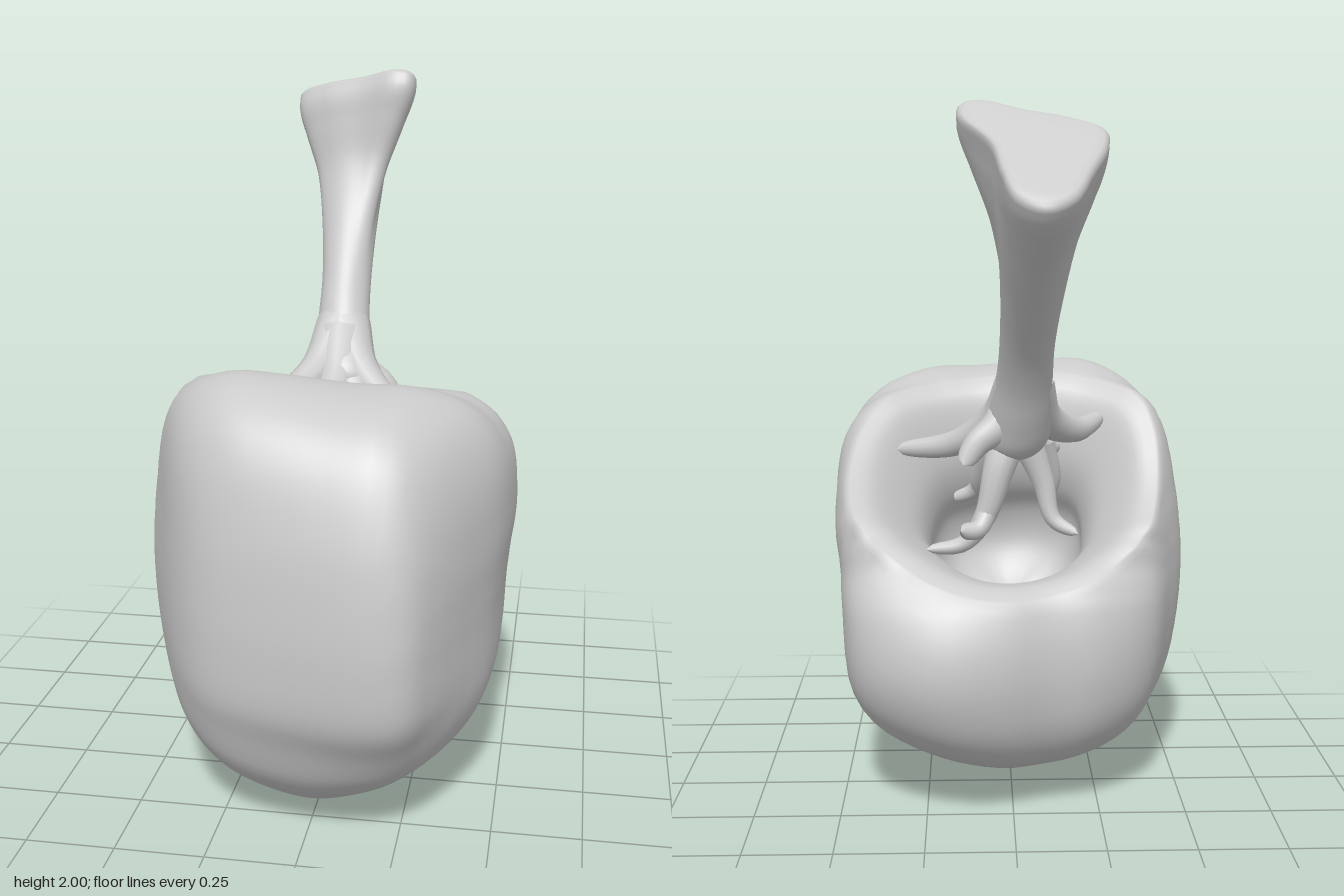
import * as THREE from 'three';

const V = (x, y, z) => new THREE.Vector3(x, y, z);
const mat = new THREE.MeshStandardMaterial({ color: 0xcccccc });
const SEG = 96, BINS = 90;

// shared tilted frame: N is the opening / stem axis, E1 and E2 span its plane
const N = V(0, 0.8, -0.6), E1 = V(1, 0, 0), E2 = V(0, -0.6, -0.8);

// radius table (by angle) of a smooth closed outline around (cx, cy)
function polar(points, cx, cy) {
  const curve = new THREE.CatmullRomCurve3(points.map(([x, y]) => V(x - cx, y - cy, 0)), true);
  const samples = curve.getPoints(600);
  return Array.from({ length: BINS }, (_, i) => {
    const a = i / BINS * 2 * Math.PI, ux = Math.cos(a), uy = Math.sin(a);
    const off = p => (p.x * ux + p.y * uy) / p.length();
    const best = samples.reduce((m, p) => off(p) > off(m) ? p : m);
    return best.length();
  });
}
function lookup(table, a) {
  const f = (a / (2 * Math.PI) + 1) % 1 * BINS, i = Math.floor(f);
  return THREE.MathUtils.lerp(table[i % BINS], table[(i + 1) % BINS], f - i);
}

// skin over closed rows of SEG points, running outward and down from the pole
function loft(rows) {
  const pos = rows.flat().flatMap(p => [p.x, p.y, p.z]), index = [];
  for (let i = 0; i < rows.length - 1; i++) {
    for (let j = 0; j < SEG; j++) {
      const k = (j + 1) % SEG;
      const a = i * SEG + j, b = a + SEG, c = (i + 1) * SEG + k, d = i * SEG + k;
      index.push(a, b, c, a, c, d);
    }
  }
  const g = new THREE.BufferGeometry();
  g.setAttribute('position', new THREE.Float32BufferAttribute(pos, 3));
  g.setIndex(index);
  g.computeVertexNormals();
  return g;
}
const ring = fn => Array.from({ length: SEG }, (_, j) => fn(j / SEG * 2 * Math.PI));

// hollow lump: blends three outlines, then turns inward into the cavity
function bodyGeometry() {
  const C = V(0, 0.6, 0.2), P = 5, rim = 0.82;
  const front = polar([[0.1, 1.23], [0.25, 1.225], [0.4, 1.17], [0.5, 1.05], [0.525, 0.9], [0.5, 0.6],
    [0.48, 0.35], [0.42, 0.23], [0.3, 0.12], [0.15, 0.04], [0, 0], [-0.15, 0.03], [-0.3, 0.1],
    [-0.43, 0.22], [-0.49, 0.35], [-0.53, 0.65], [-0.5, 0.95], [-0.46, 1.1], [-0.4, 1.18],
    [-0.25, 1.25], [-0.1, 1.25]], 0, 0.6);
  const side = polar([[0.81, 0.6], [0.8, 0.75], [0.76, 0.95], [0.68, 1.12], [0.55, 1.22], [0.42, 1.255],
    [0.3, 1.23], [0.2, 1.17], [0, 1.02], [-0.1, 0.95], [-0.18, 0.87], [-0.28, 0.74], [-0.38, 0.65],
    [-0.43, 0.52], [-0.43, 0.4], [-0.38, 0.27], [-0.3, 0.18], [-0.2, 0.12], [0, 0.06], [0.15, 0.02],
    [0.3, 0], [0.45, 0.03], [0.55, 0.09], [0.65, 0.18], [0.72, 0.3], [0.79, 0.42]], 0.2, 0.6);
  const top = polar([[0.2, -0.44], [0.35, -0.39], [0.45, -0.3], [0.5, -0.15], [0.525, 0.1], [0.5, 0.35],
    [0.42, 0.55], [0.35, 0.7], [0.3, 0.78], [0.22, 0.81], [0, 0.78], [-0.25, 0.7], [-0.35, 0.6],
    [-0.45, 0.4], [-0.52, 0.2], [-0.52, 0.1], [-0.47, -0.05], [-0.4, -0.22], [-0.25, -0.33],
    [-0.1, -0.36], [0.05, -0.42]], 0, 0.2);
  // each outline with its two in-plane axes and its depth axis
  const views = [[front, 'x', 'y', 'z'], [side, 'z', 'y', 'x'], [top, 'x', 'z', 'y']]
    .map(([target, u, v, w]) => ({ target, table: [...target], u, v, w }));
  const radius = d => {
    let sum = 0;
    for (const { table, u, v } of views) {
      sum += (Math.hypot(d[u], d[v]) / lookup(table, Math.atan2(d[v], d[u]))) ** P;
    }
    return sum ** (-1 / P);
  };
  // grow the outlines until the rounded blend reaches the intended ones
  for (let pass = 0; pass < 6; pass++) {
    for (const view of views) {
      view.next = view.table.map((r, i) => {
        const a = i / BINS * 2 * Math.PI, d = V(0, 0, 0);
        let reach = 0;
        for (let t = -1.2; t <= 1.21; t += 0.08) {
          d[view.u] = Math.cos(t) * Math.cos(a);
          d[view.v] = Math.cos(t) * Math.sin(a);
          d[view.w] = Math.sin(t);
          if (d.dot(N) < Math.cos(rim)) reach = Math.max(reach, radius(d) * Math.cos(t));
        }
        const want = view.target[i];
        return THREE.MathUtils.clamp(r * want / Math.max(reach, 0.1), want * 0.95, want * 1.2);
      });
    }
    for (const view of views) view.table = view.next;
  }
  const surface = (theta, phi) => {
    const s = Math.sin(theta);
    const d = N.clone().multiplyScalar(Math.cos(theta))
      .addScaledVector(E1, s * Math.cos(phi)).addScaledVector(E2, s * Math.sin(phi));
    return d.multiplyScalar(radius(d));
  };

  // cavity profile: share of the rim radius, depth below the rim
  const cavity = new THREE.SplineCurve([[0, 0.54], [0.2, 0.53], [0.4, 0.48], [0.5, 0.38], [0.5, 0.27],
    [0.56, 0.17], [0.69, 0.085], [0.85, 0.015], [1, 0]].map(p => new THREE.Vector2(...p)));
  const crest = ring(phi => surface(rim, phi));
  const mean = crest.reduce((sum, p) => sum + p.dot(N), 0) / SEG;
  const rows = [];
  for (let i = 0; i < 36; i++) {
    const c = cavity.getPoint(i / 36);
    rows.push(crest.map(p => {
      const h = p.dot(N);
      const q = p.clone().addScaledVector(N, -h).multiplyScalar(c.x);
      return q.addScaledVector(N, h * c.x + mean * (1 - c.x) - c.y).add(C);
    }));
  }
  for (let i = 0; i <= 60; i++) {
    const theta = rim + (Math.PI - rim) * i / 60;
    rows.push(ring(phi => surface(theta, phi).add(C)));
  }
  return loft(rows);
}

// stem: round shaft widening to a three-cornered, flat end
function stemGeometry() {
  const head = polar([[0.18, -0.2], [0.19, -0.14], [0.11, -0.02], [0.085, 0.09], [0.05, 0.2], [-0.02, 0.24],
    [-0.09, 0.2], [-0.14, 0.09], [-0.18, -0.01], [-0.18, -0.08], [-0.1, -0.13], [0.03, -0.17],
    [0.13, -0.21]], 0, 0);
  // centre, shaft radius, share of the head outline
  const keys = [
    [-0.04, 1.87, -0.62, 0.1, 1], [-0.04, 1.83, -0.595, 0.1, 0.97], [-0.04, 1.77, -0.57, 0.09, 0.75],
    [-0.04, 1.66, -0.52, 0.082, 0.35], [-0.04, 1.52, -0.42, 0.078, 0.1], [-0.035, 1.38, -0.31, 0.075, 0],
    [-0.03, 1.27, -0.23, 0.078, 0], [-0.02, 1.17, -0.17, 0.088, 0], [-0.01, 1.1, -0.12, 0.095, 0],
    [-0.01, 1.06, -0.09, 0.06, 0], [-0.01, 1.05, -0.085, 0, 0]];
  const path = new THREE.CatmullRomCurve3(keys.map(k => V(k[0], k[1], k[2])));
  const mix = new THREE.SplineCurve(keys.map(k => new THREE.Vector2(k[3], k[4])));
  const row = (c, r, w, s = 1) => ring(a => {
    const d = (r + (lookup(head, a) - r) * w) * s;
    return c.clone().addScaledVector(E1, d * Math.cos(a)).addScaledVector(E2, d * Math.sin(a));
  });
  const rows = [];
  for (const [s, lift] of [[0, 0.018], [0.4, 0.018], [0.8, 0.018], [0.92, 0.015], [0.97, 0.009]]) {
    rows.push(row(path.getPoint(0).addScaledVector(N, lift), 0.1, 1, s));
  }
  for (let i = 0; i <= 50; i++) {
    const m = mix.getPoint(i / 50);
    rows.push(row(path.getPoint(i / 50), Math.max(0, m.x), m.y));
  }
  return loft(rows);
}

// tapered branch with a rounded tip
function branchGeometry(points, r0, r1) {
  const curve = new THREE.CatmullRomCurve3(points.map(p => V(...p)));
  const steps = 24, sides = 12;
  const g = new THREE.TubeGeometry(curve, steps, 1, sides);
  const pos = g.attributes.position, v = V(0, 0, 0);
  for (let i = 0; i <= steps; i++) {
    const t = i / steps, c = curve.getPointAt(t);
    const r = (r1 + (r0 - r1) * (1 - t) ** 1.5) * Math.sqrt(1 - t ** 14);
    for (let j = 0; j <= sides; j++) {
      const k = i * (sides + 1) + j;
      v.fromBufferAttribute(pos, k).sub(c).multiplyScalar(r).add(c);
      pos.setXYZ(k, v.x, v.y, v.z);
    }
  }
  return g;
}

export function createModel() {
  const model = new THREE.Group();
  const add = (parent, name, geometry) => {
    const mesh = new THREE.Mesh(geometry, mat);
    mesh.name = name;
    parent.add(mesh);
  };
  add(model, 'hollowBody', bodyGeometry());
  add(model, 'stem', stemGeometry());

  const roots = new THREE.Group();
  roots.name = 'branches';
  model.add(roots);
  const branches = {
    leftBranch: [[[-0.02, 1.25, -0.21], [0.04, 1.14, -0.11], [0.17, 1.05, -0.01], [0.34, 1.02, 0.07]], 0.075, 0.028],
    rightBranch: [[[-0.04, 1.25, -0.21], [-0.09, 1.14, -0.09], [-0.19, 1.08, 0.05], [-0.28, 1.1, 0.18]], 0.075, 0.03],
    frontBranch: [[[-0.03, 1.22, -0.19], [-0.03, 1.1, -0.06], [-0.07, 1.02, 0.09], [-0.15, 1, 0.23]], 0.085, 0.03],
    frontTwig: [[[-0.1, 1.05, 0.03], [-0.13, 0.92, 0.08], [-0.1, 0.83, 0.12]], 0.03, 0.016],
    innerBranch: [[[0.02, 1.1, -0.08], [0.07, 1, 0], [0.09, 0.9, 0.08], [0.04, 0.84, 0.15]], 0.06, 0.022],
    innerFork: [[[0.08, 0.95, 0.04], [0.11, 0.89, 0.09], [0.17, 0.86, 0.12]], 0.03, 0.02],
    backBranch: [[[0, 1.12, -0.12], [0.04, 1, -0.15], [0.08, 0.86, -0.15], [0.14, 0.78, -0.14],
      [0.25, 0.76, -0.13]], 0.06, 0.02],
    backFork: [[[0.07, 0.88, -0.15], [0.1, 0.83, -0.18], [0.15, 0.83, -0.2]], 0.03, 0.025],
    backStub: [[[0, 1.18, -0.16], [0.05, 1.12, -0.18], [0.1, 1.08, -0.19], [0.14, 1.02, -0.2]], 0.06, 0.032],
    deepBranch: [[[-0.03, 1.1, -0.1], [-0.09, 0.95, -0.09], [-0.12, 0.84, -0.1], [-0.19, 0.8, -0.12]], 0.05, 0.02],
  };
  for (const [name, args] of Object.entries(branches)) add(roots, name, branchGeometry(...args));
  return model;
}
